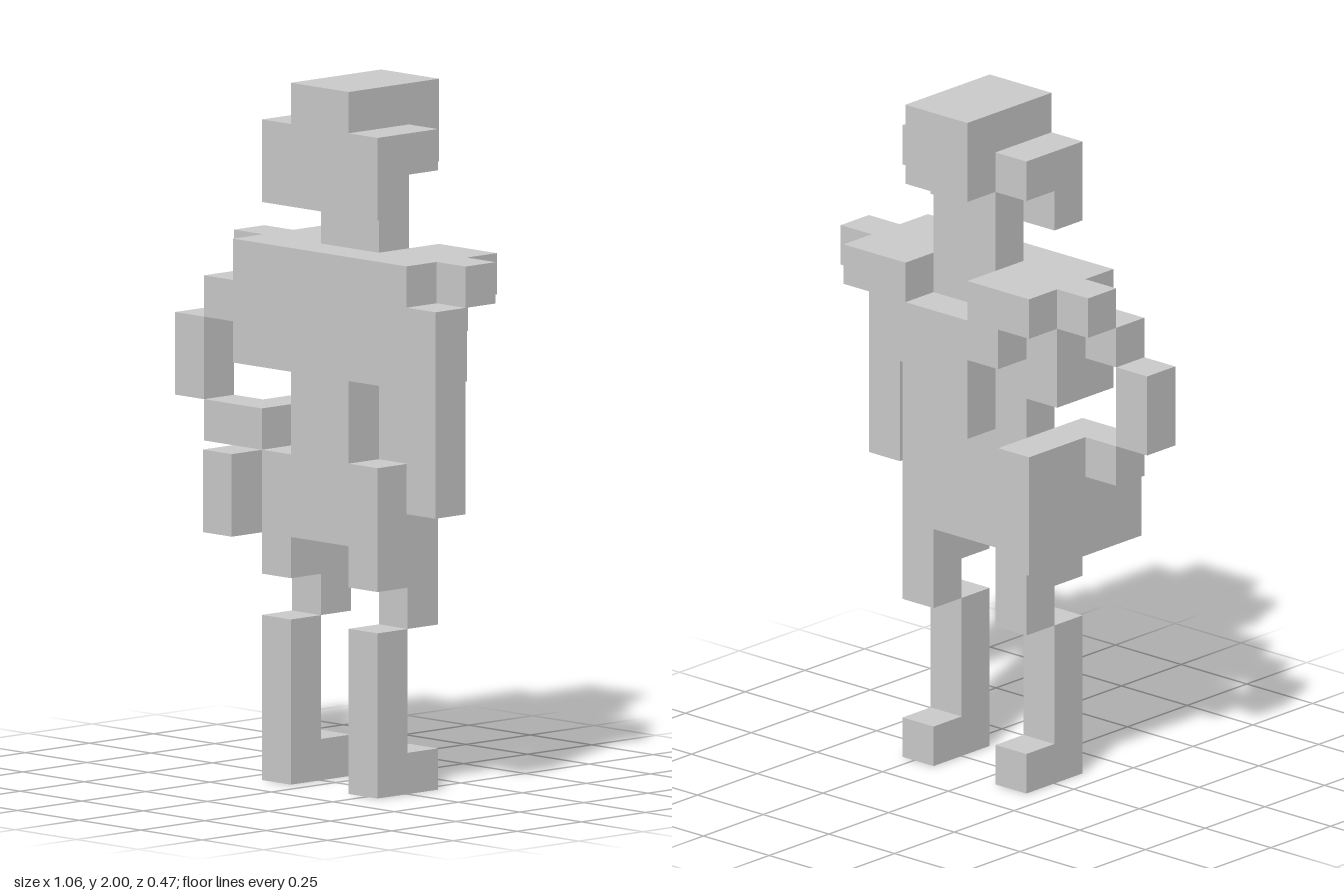
import * as THREE from 'three';

// One cell of the block grid: 9 wide, 17 high, 4 deep
const U = 2 / 17;
const material = new THREE.MeshStandardMaterial({ color: 0xcccccc, flatShading: true });

// Box covering grid lines x0..x1, y0..y1, z0..z1 (z0 is the back)
function block(parent, name, [x0, x1], [y0, y1], [z0, z1]) {
  const geometry = new THREE.BoxGeometry((x1 - x0) * U, (y1 - y0) * U, (z1 - z0) * U);
  const mesh = new THREE.Mesh(geometry, material);
  mesh.name = name;
  mesh.position.set(((x0 + x1) / 2 - 4.5) * U, ((y0 + y1) / 2) * U, ((z0 + z1) / 2 - 2) * U);
  parent.add(mesh);
}

// Same block on both sides of the body, mirrored about grid line x = 5
function pair(parent, name, [x0, x1], y, z) {
  block(parent, name + 'Left', [x0, x1], y, z);
  block(parent, name + 'Right', [10 - x1, 10 - x0], y, z);
}

function part(root, name) {
  const group = new THREE.Group();
  group.name = name;
  root.add(group);
  return group;
}

export function createModel() {
  const root = new THREE.Group();
  root.name = 'blockFigure';

  // Legs: shin and foot in front, knee set back, thigh two cells deep
  const legs = part(root, 'legs');
  pair(legs, 'foot', [6, 7], [0, 1], [1, 2]);
  pair(legs, 'shin', [6, 7], [0, 4], [2, 3]);
  pair(legs, 'knee', [6, 7], [4, 5], [1, 2]);
  pair(legs, 'thigh', [6, 7], [5, 6], [1, 3]);

  // Torso: hips, narrow front waist with recessed flanks, wide chest
  const torso = part(root, 'torso');
  block(torso, 'hips', [3, 7], [6, 8], [1, 3]);
  block(torso, 'waistFront', [4, 6], [8, 10], [2, 3]);
  block(torso, 'waistBack', [3, 7], [8, 10], [1, 2]);
  block(torso, 'chest', [2, 8], [10, 13], [1, 3]);

  // Stepped back: spine, shoulder blades and upper back around the neck notch
  const back = part(root, 'back');
  block(back, 'spine', [4, 6], [9, 12], [0, 1]);
  pair(back, 'shoulderBlade', [6, 7], [11, 12], [0, 1]);
  pair(back, 'upperBack', [6, 8], [12, 13], [0, 1]);

  // Left arm hangs straight
  const leftArm = part(root, 'leftArm');
  block(leftArm, 'leftShoulder', [8, 9], [12, 13], [1, 2]);
  block(leftArm, 'leftArmLength', [8, 9], [7, 12], [2, 3]);

  // Right arm is bent, with the hand at the hip
  const rightArm = part(root, 'rightArm');
  block(rightArm, 'rightShoulder', [1, 2], [12, 13], [1, 2]);
  block(rightArm, 'rightUpperArm', [1, 2], [11, 12], [2, 3]);
  block(rightArm, 'rightElbow', [0, 1], [9, 11], [2, 3]);
  block(rightArm, 'rightForearm', [1, 3], [8, 9], [2, 3]);

  // Long hip pouch under the right hand
  const pouch = part(root, 'hipPouch');
  block(pouch, 'pouchBase', [2, 3], [6, 8], [0, 4]);
  block(pouch, 'pouchTop', [2, 3], [8, 9], [0, 2]);

  // Head: neck, face, skull and side pieces
  const head = part(root, 'head');
  block(head, 'neck', [4, 6], [13, 15], [1, 2]);
  block(head, 'face', [3, 7], [14, 15], [2, 3]);
  block(head, 'skull', [4, 6], [15, 17], [0, 3]);
  pair(head, 'headSide', [6, 7], [15, 16], [1, 3]);

  return root;
}
